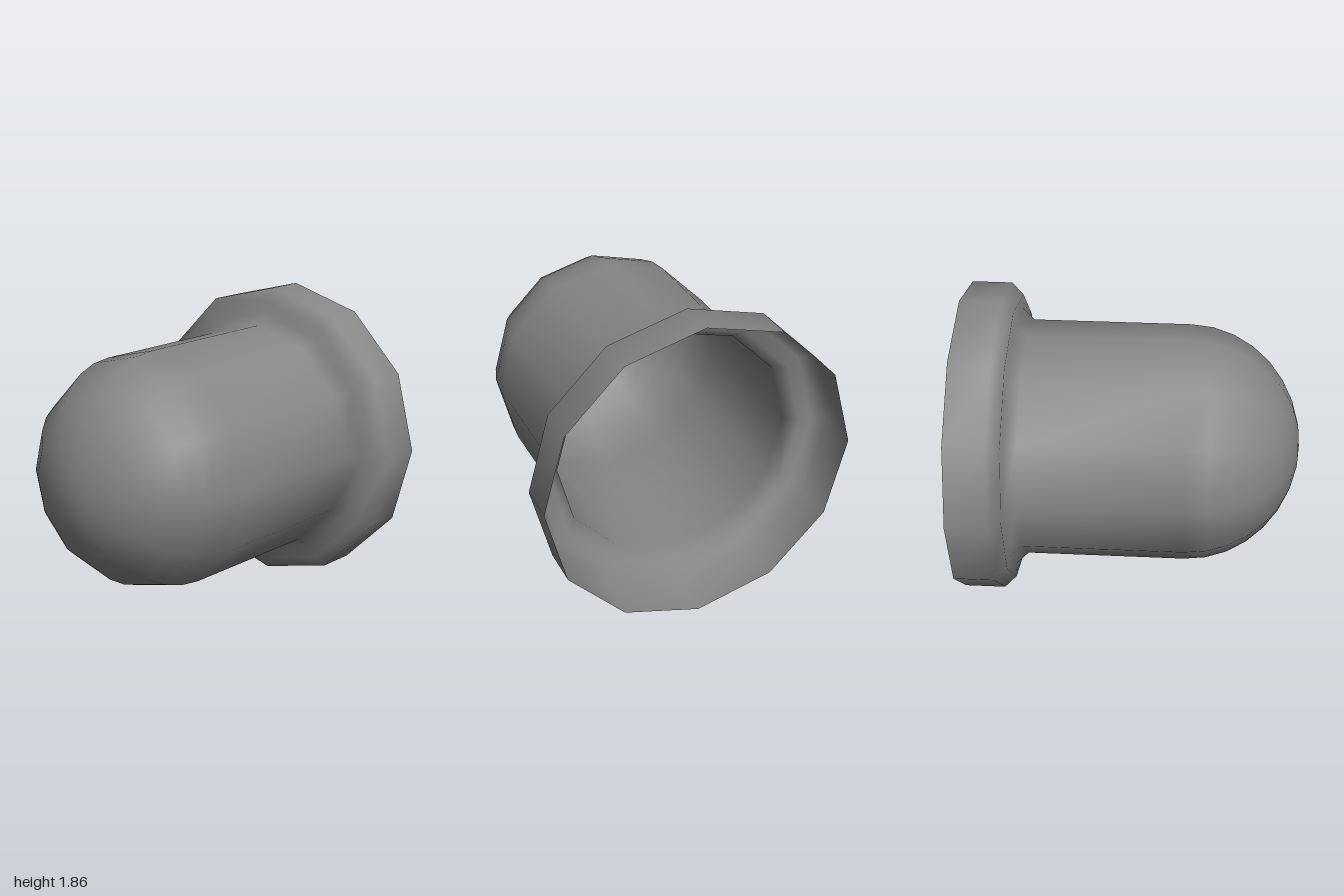
import * as THREE from 'three';
import { mergeVertices } from 'three/addons/utils/BufferGeometryUtils.js';

const SIDES = 12;
const CENTER_Y = 0.93;
const BODY_RADIUS = 0.712;
const DOME_START = 0.33;
const DOME_STEPS = 8;

export function createModel() {
  const group = new THREE.Group();
  group.name = 'domedCap';

  // Profile as (radius, z): open rim, bevelled flange, flared neck, straight wall
  const profile = [
    [0.93, -1], [0.93, -0.76], [0.86, -0.69], [0.78, -0.69],
    [BODY_RADIUS, -0.62], [BODY_RADIUS, DOME_START],
  ].map(([r, z]) => new THREE.Vector2(r, z));

  // Rounded dome closing the front
  for (let i = 1; i <= DOME_STEPS; i++) {
    const a = (i / DOME_STEPS) * Math.PI / 2;
    const r = i === DOME_STEPS ? 0 : BODY_RADIUS * Math.cos(a);
    profile.push(new THREE.Vector2(r, DOME_START + (1 - DOME_START) * Math.sin(a)));
  }

  // Thin twelve-sided shell, turned so its axis runs along z
  const lathe = new THREE.LatheGeometry(profile, SIDES);
  lathe.rotateX(Math.PI / 2);

  // Weld the seam and the pole so the shading is smooth all over
  lathe.deleteAttribute('uv');
  lathe.deleteAttribute('normal');
  const geometry = mergeVertices(lathe);
  geometry.computeVertexNormals();

  const material = new THREE.MeshStandardMaterial({ color: 0x868686, side: THREE.DoubleSide });
  const shell = new THREE.Mesh(geometry, material);
  shell.name = 'flangedDomeShell';
  shell.position.y = CENTER_Y;
  group.add(shell);

  return group;
}
